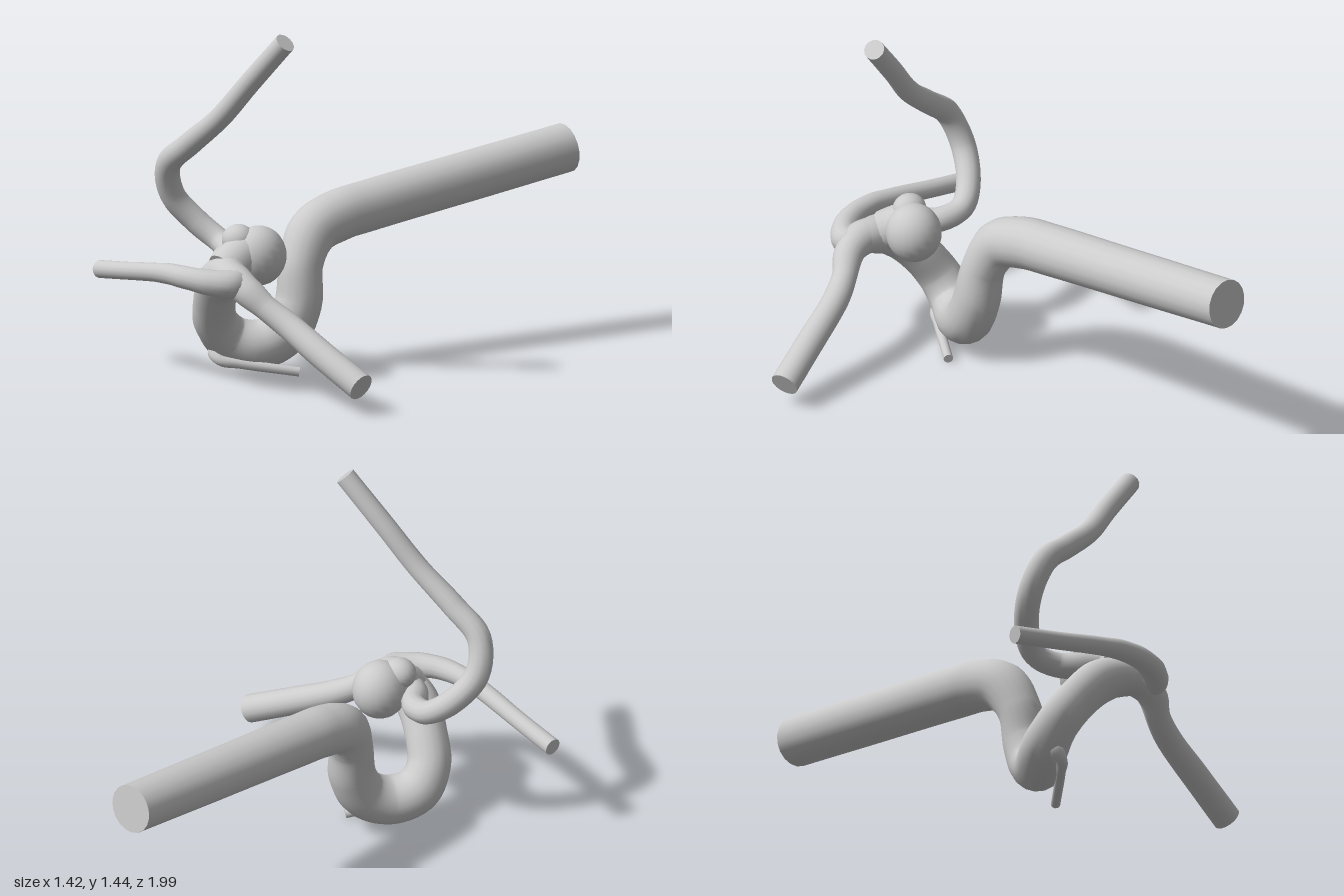
import * as THREE from 'three';

const material = new THREE.MeshStandardMaterial({ color: 0xcccccc });

// Capped tube through stations [x, y, z, radius], with the radius varying along the way.
function vessel(name, stations, sides = 18, steps = 6) {
  const curve = new THREE.CatmullRomCurve3(stations.map(([x, y, z]) => new THREE.Vector3(x, y, z)), false, 'centripetal');
  const spans = stations.length - 1, rings = spans * steps;
  const positions = [], normals = [], index = [];
  const side = new THREE.Vector3(1, 0, 0), up = new THREE.Vector3();
  if (Math.abs(curve.getTangent(0).x) > 0.8) side.set(0, 1, 0);

  const cap = (centre, ring, normal, flip) => {
    const base = positions.length / 3;
    [centre, ...ring].forEach(p => { positions.push(p.x, p.y, p.z); normals.push(normal.x, normal.y, normal.z); });
    for (let j = 0; j < sides; j++) {
      const a = base + 1 + j, b = base + 1 + (j + 1) % sides;
      index.push(base, ...(flip ? [b, a] : [a, b]));
    }
  };

  const loops = [];
  for (let i = 0; i <= rings; i++) {
    const t = i / rings, k = Math.min(Math.floor(t * spans), spans - 1);
    const f = THREE.MathUtils.smoothstep(t * spans - k, 0, 1);
    const radius = THREE.MathUtils.lerp(stations[k][3], stations[k + 1][3], f);
    const centre = curve.getPoint(t), tangent = curve.getTangent(t);
    // carry the side vector along so the tube does not twist
    side.addScaledVector(tangent, -side.dot(tangent)).normalize();
    up.crossVectors(tangent, side);
    const ring = [];
    for (let j = 0; j < sides; j++) {
      const a = j / sides * Math.PI * 2;
      const n = side.clone().multiplyScalar(Math.cos(a)).addScaledVector(up, Math.sin(a));
      const p = centre.clone().addScaledVector(n, radius);
      ring.push(p);
      positions.push(p.x, p.y, p.z);
      normals.push(n.x, n.y, n.z);
      if (i < rings) {
        const p0 = i * sides + j, p1 = i * sides + (j + 1) % sides;
        index.push(p0, p1, p0 + sides, p1, p1 + sides, p0 + sides);
      }
    }
    loops.push({ centre, ring, tangent });
  }
  const last = loops[rings];
  cap(loops[0].centre, loops[0].ring, loops[0].tangent.clone().negate(), true);
  cap(last.centre, last.ring, last.tangent, false);

  const geometry = new THREE.BufferGeometry();
  geometry.setAttribute('position', new THREE.Float32BufferAttribute(positions, 3));
  geometry.setAttribute('normal', new THREE.Float32BufferAttribute(normals, 3));
  geometry.setIndex(index);
  const mesh = new THREE.Mesh(geometry, material);
  mesh.name = name;
  return mesh;
}

// Rounded swelling
function bulge(name, [x, y, z], [rx, ry, rz]) {
  const mesh = new THREE.Mesh(new THREE.SphereGeometry(1, 20, 14), material);
  mesh.scale.set(rx, ry, rz);
  mesh.position.set(x, y, z);
  mesh.name = name;
  return mesh;
}

export function createModel() {
  const model = new THREE.Group();
  model.name = 'branchingVessel';

  model.add(
    // thick trunk: straight run, downward bend, U-turn and rise to the fork
    vessel('trunk', [
      [-0.14, 0.74, -0.985, 0.1], [-0.152, 0.68, -0.5, 0.102], [-0.163, 0.621, -0.02, 0.104],
      [-0.165, 0.6, 0.12, 0.104], [-0.16, 0.55, 0.25, 0.1], [-0.14, 0.43, 0.32, 0.088],
      [-0.125, 0.28, 0.345, 0.095], [-0.14, 0.17, 0.4, 0.098], [-0.19, 0.12, 0.49, 0.1],
      [-0.25, 0.145, 0.585, 0.096], [-0.25, 0.225, 0.66, 0.088], [-0.19, 0.33, 0.71, 0.085],
      [-0.11, 0.42, 0.75, 0.088], [-0.02, 0.46, 0.775, 0.08], [0.08, 0.46, 0.8, 0.06],
    ]),
    // branch to the model's left
    vessel('leftBranch', [
      [-0.04, 0.465, 0.77, 0.07], [0.06, 0.46, 0.8, 0.07], [0.14, 0.425, 0.79, 0.06],
      [0.21, 0.365, 0.75, 0.05], [0.3, 0.31, 0.715, 0.053], [0.48, 0.215, 0.68, 0.056], [0.685, 0.112, 0.638, 0.057],
    ]),
    // branch sweeping forward and to the model's right
    vessel('rightBranch', [
      [0.06, 0.455, 0.78, 0.06], [0.1, 0.455, 0.835, 0.058], [0.045, 0.46, 0.9, 0.052],
      [-0.05, 0.468, 0.942, 0.046], [-0.17, 0.468, 0.953, 0.042], [-0.28, 0.455, 0.946, 0.038],
      [-0.5, 0.42, 0.918, 0.036], [-0.7, 0.39, 0.895, 0.036],
    ], 14),
    // thin branch that loops back, then climbs
    vessel('upperBranch', [
      [-0.06, 0.48, 0.75, 0.06], [-0.14, 0.495, 0.7, 0.055], [-0.21, 0.505, 0.62, 0.05],
      [-0.31, 0.53, 0.592, 0.048], [-0.4, 0.6, 0.64, 0.05], [-0.455, 0.71, 0.72, 0.051],
      [-0.42, 0.845, 0.768, 0.05], [-0.3, 0.945, 0.755, 0.048], [-0.14, 1.075, 0.722, 0.044],
      [0, 1.235, 0.678, 0.043], [0.168, 1.42, 0.628, 0.042],
    ], 14),
    // small twig under the U-turn
    vessel('lowerTwig', [
      [-0.27, 0.15, 0.62, 0.04], [-0.255, 0.1, 0.655, 0.034], [-0.225, 0.072, 0.655, 0.024],
      [-0.17, 0.056, 0.59, 0.02], [-0.03, 0.025, 0.41, 0.019],
    ], 12),
    // balloon-like swelling behind the fork, with its neck and a small lobe
    bulge('swelling', [-0.04, 0.52, 0.605], [0.11, 0.12, 0.113]),
    vessel('swellingNeck', [
      [-0.05, 0.53, 0.6, 0.095], [-0.055, 0.52, 0.68, 0.085], [-0.05, 0.47, 0.76, 0.085],
    ]),
    bulge('swellingLobe', [-0.085, 0.585, 0.67], [0.07, 0.062, 0.065]),
  );
  return model;
}
